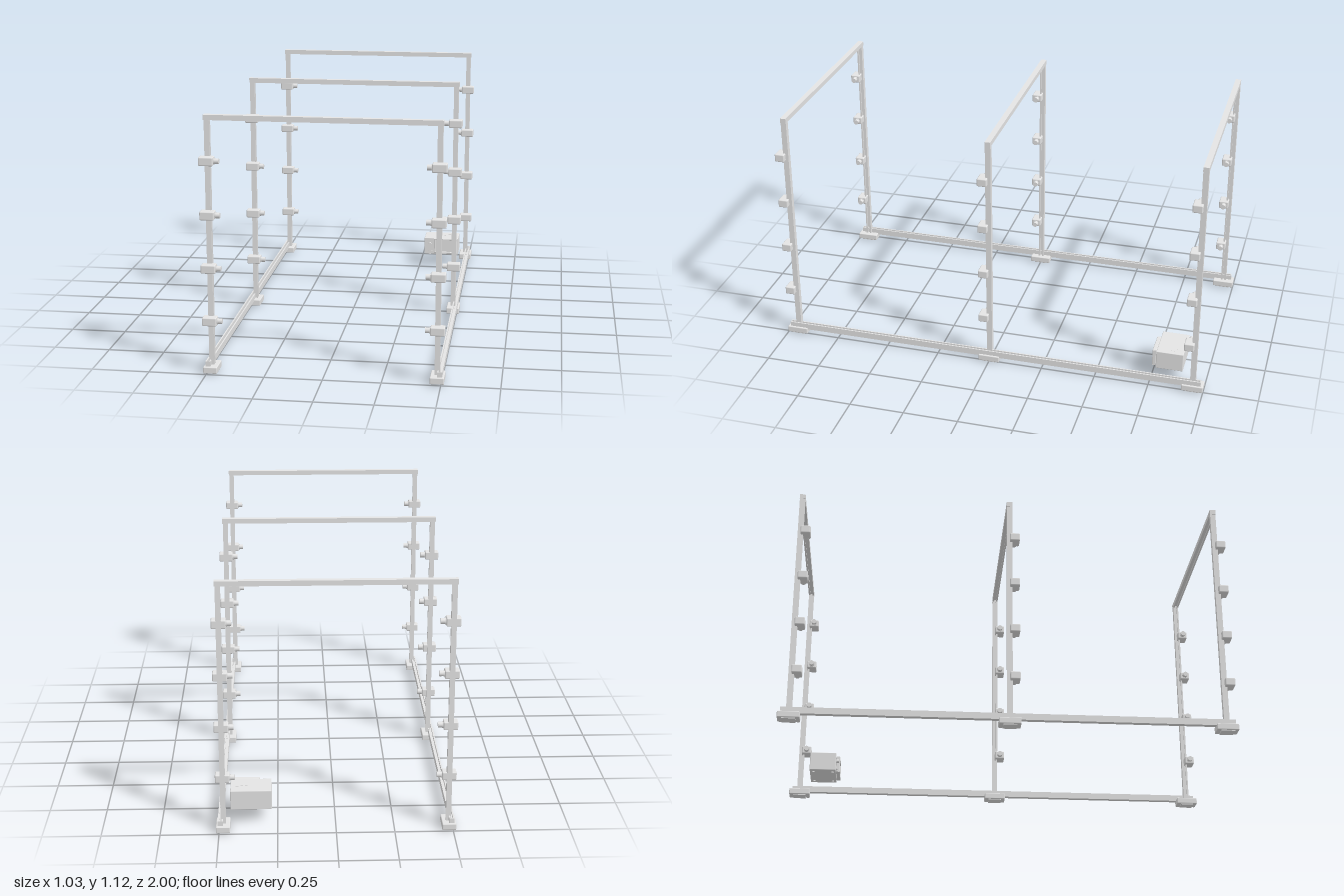
import * as THREE from 'three';
import { RoundedBoxGeometry } from 'three/addons/geometries/RoundedBoxGeometry.js';

export function createModel() {
  const root = new THREE.Group();
  const grey = new THREE.MeshStandardMaterial({ color: 0xe4e4e4 });
  grey.name = 'light grey metal';

  function add(parent, name, geo, x = 0, y = 0, z = 0) {
    const mesh = new THREE.Mesh(geo, grey);
    mesh.name = name;
    mesh.position.set(x, y, z);
    parent.add(mesh);
    return mesh;
  }
  const box = (w, h, d) => new THREE.BoxGeometry(w, h, d);
  const V = (x, y, z) => new THREE.Vector3(x, y, z);

  // Lipped C-channel: open side along `open`, length along `along`
  function channel(w, h, length, open, along) {
    const a = w / 2, b = h / 2, t = 0.003, g = 0.005, lip = 0.006;
    const half = [[a, -b], [a, b], [g, b], [g, b - lip], [g + t, b - lip],
      [g + t, b - t], [a - t, b - t], [a - t, -b + t]];
    const pts = half.concat(half.slice().reverse().map(([x, y]) => [-x, y]));
    const shape = new THREE.Shape(pts.map(([x, y]) => new THREE.Vector2(x, y)));
    const geo = new THREE.ExtrudeGeometry(shape, { depth: length, bevelEnabled: false });
    geo.translate(0, 0, -length / 2);
    const across = open.clone().cross(along);
    return geo.applyMatrix4(new THREE.Matrix4().makeBasis(across, open, along));
  }

  const railGeo = channel(0.022, 0.029, 1.97, V(0, 1, 0), V(0, 0, 1));
  const beamGeo = channel(0.026, 0.022, 0.986, V(0, -1, 0), V(1, 0, 0));
  const clampGeo = new RoundedBoxGeometry(0.062, 0.037, 0.045, 2, 0.005);
  const footGeo = new RoundedBoxGeometry(0.06, 0.029, 0.098, 2, 0.004);
  const knobGeo = new THREE.CylinderGeometry(0.012, 0.012, 0.024, 20).rotateZ(Math.PI / 2);
  const collarGeo = new THREE.CylinderGeometry(0.014, 0.014, 0.006, 6).rotateZ(Math.PI / 2);

  // Floor rails with closed ends
  for (const s of [-1, 1]) {
    add(root, 'floorRail', railGeo, s * 0.494, 0.04, 0);
    for (const e of [-1, 1]) add(root, 'railEndCap', box(0.022, 0.029, 0.003), s * 0.494, 0.04, e * 0.9865);
  }

  // Three portal frames with feet and clamps
  for (const z of [0.951, 0, -0.951]) {
    const frame = new THREE.Group();
    frame.name = 'portalFrame';
    frame.position.z = z;
    root.add(frame);
    add(frame, 'topBeam', beamGeo, 0, 1.106, 0);
    for (const s of [-1, 1]) {
      const postGeo = channel(0.025, 0.022, 1.075, V(-s, 0, 0), V(0, 1, 0));
      add(frame, 'beamEndCap', box(0.003, 0.022, 0.026), s * 0.4945, 1.106, 0);
      add(frame, 'post', postGeo, s * 0.482, 0.5575, 0);
      add(frame, 'foot', footGeo, s * 0.483, 0.0185, 0);
      add(frame, 'footPad', box(0.05, 0.006, 0.06), s * 0.483, 0.003, 0);
      for (let i = 0; i < 4; i++) {
        const y = 0.233 + i * 0.231;
        add(frame, 'clamp', clampGeo, s * 0.483, y, 0.0235);
        add(frame, 'clampCollar', collarGeo, s * 0.45, y, 0.0235);
        add(frame, 'clampKnob', knobGeo, s * 0.442, y, 0.0235);
      }
    }
  }

  // Small oven hanging beside the rear left post
  const oven = new THREE.Group();
  oven.name = 'oven';
  oven.position.set(0.364, 0.108, -0.835);
  root.add(oven);
  add(oven, 'ovenBody', new RoundedBoxGeometry(0.178, 0.088, 0.124, 2, 0.003));

  // Door frame with recessed window
  const rect = (C, w, h) => {
    const p = new C();
    p.moveTo(-w / 2, -h / 2);
    p.lineTo(w / 2, -h / 2);
    p.lineTo(w / 2, h / 2);
    p.lineTo(-w / 2, h / 2);
    p.closePath();
    return p;
  };
  const door = rect(THREE.Shape, 0.118, 0.074);
  door.holes.push(rect(THREE.Path, 0.11, 0.07));
  const doorGeo = new THREE.ExtrudeGeometry(door, {
    depth: 0.014, bevelThickness: 0.002, bevelSize: 0.002, bevelSegments: 1,
  });
  add(oven, 'doorFrame', doorGeo, 0.024, 0.006, 0.064);
  add(oven, 'doorWindow', box(0.112, 0.072, 0.008), 0.024, 0.006, 0.066);

  // Controls
  const dial = (r, d) => new THREE.CylinderGeometry(r, r, d, 20).rotateX(Math.PI / 2);
  add(oven, 'dial', dial(0.008, 0.014), -0.059, 0.012, 0.068);
  for (const x of [-0.066, -0.049]) add(oven, 'button', dial(0.0025, 0.008), x, -0.025, 0.064);

  // Top vents and feet
  for (let i = 0; i < 3; i++) {
    for (let j = 0; j < 3; j++) {
      add(oven, 'vent', box(0.012, 0.002, 0.004), 0.02 + i * 0.02, 0.0435, -0.03 + j * 0.014);
    }
  }
  for (const x of [-0.062, 0.062]) {
    for (const z of [-0.045, 0.045]) {
      add(oven, 'ovenFoot', new THREE.CylinderGeometry(0.006, 0.006, 0.006, 12), x, -0.046, z);
    }
  }
  return root;
}
